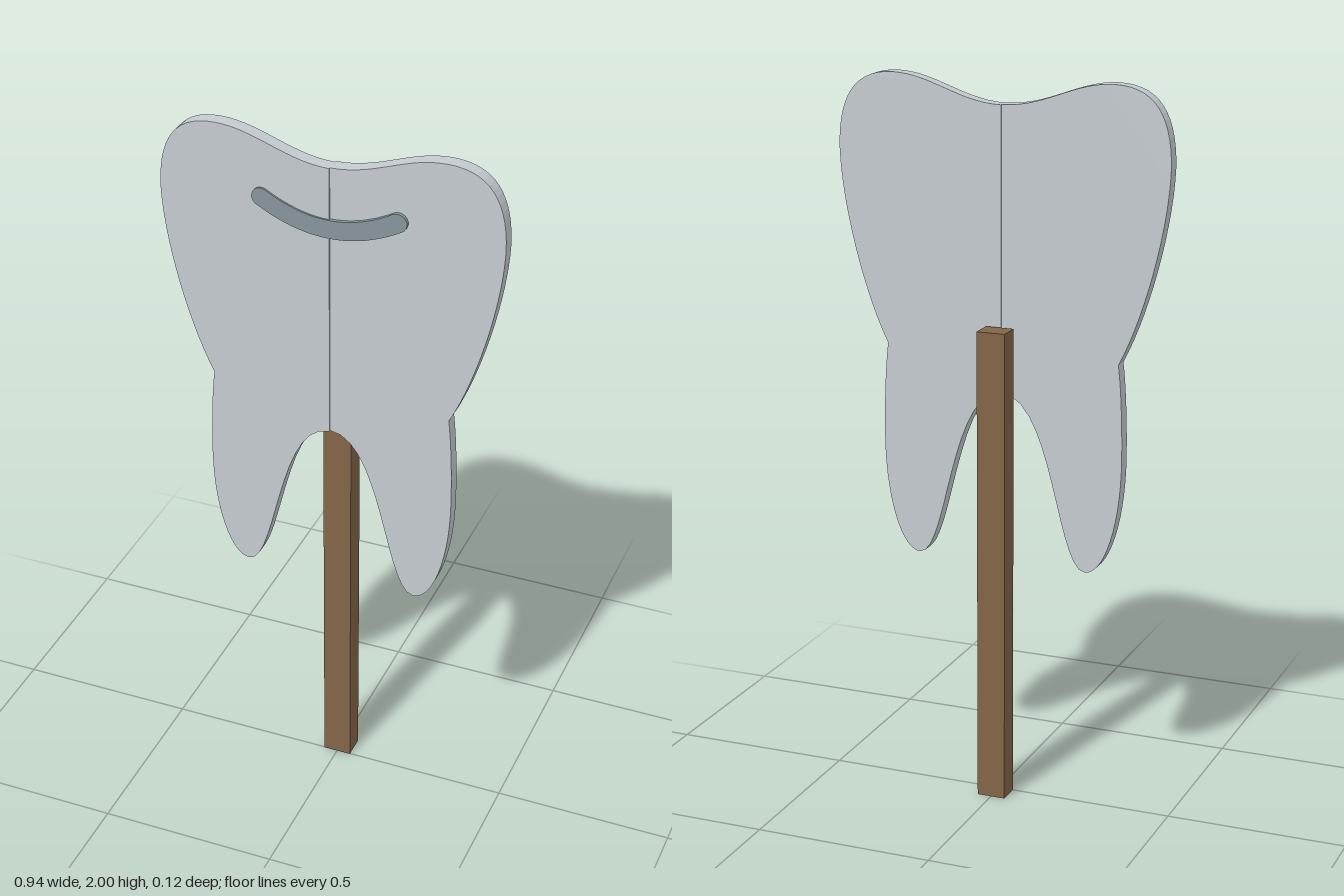
import * as THREE from 'three';

const material = (color) => new THREE.MeshStandardMaterial({ color });

function addMesh(group, name, geometry, mat, x, y, z) {
  const mesh = new THREE.Mesh(geometry, mat);
  mesh.name = name;
  mesh.position.set(x, y, z);
  group.add(mesh);
}

// Outline of half of the tooth; side is +1 (left) or -1 (right)
function halfTooth(side) {
  const curves = [
    [0.12, 1.93, 0.20, 2.00, 0.31, 2.00],   // dip to cusp
    [0.42, 2.00, 0.468, 1.93, 0.468, 1.79], // shoulder
    [0.464, 1.63, 0.40, 1.39, 0.332, 1.26], // crown side
    [0.34, 1.20, 0.345, 1.10, 0.345, 1.00], // root side
    [0.345, 0.82, 0.30, 0.67, 0.243, 0.67], // root tip
    [0.16, 0.67, 0.15, 1.15, 0, 1.15],      // arch between roots
  ];
  const shape = new THREE.Shape().moveTo(0, 1.93);
  for (const [a, b, c, d, e, f] of curves) {
    shape.bezierCurveTo(side * a, b, side * c, d, side * e, f);
  }
  return shape.closePath();
}

// Curved band of constant width with round ends
function smileShape(radius) {
  const curve = new THREE.QuadraticBezierCurve(
    new THREE.Vector2(-0.185, 1.816), new THREE.Vector2(0, 1.706), new THREE.Vector2(0.185, 1.816));
  const steps = 20, capSteps = 10, points = [];
  const offset = (t, turn) => {
    const p = curve.getPoint(t), d = curve.getTangent(t);
    const angle = Math.atan2(d.y, d.x) + turn;
    points.push(new THREE.Vector2(p.x + radius * Math.cos(angle), p.y + radius * Math.sin(angle)));
  };
  for (let i = 0; i <= steps; i++) offset(i / steps, -Math.PI / 2);
  for (let i = 1; i < capSteps; i++) offset(1, -Math.PI / 2 + Math.PI * i / capSteps);
  for (let i = steps; i >= 0; i--) offset(i / steps, Math.PI / 2);
  for (let i = 1; i < capSteps; i++) offset(0, Math.PI / 2 + Math.PI * i / capSteps);
  return new THREE.Shape(points);
}

export function createModel() {
  const group = new THREE.Group();
  group.name = 'toothSign';

  const enamel = material(0xc5cbcf);
  const extrude = (shape, depth) =>
    new THREE.ExtrudeGeometry(shape, { depth, bevelEnabled: false, curveSegments: 14 });

  // Tooth halves, the right one set slightly forward
  addMesh(group, 'toothLeftHalf', extrude(halfTooth(1), 0.04), enamel, 0, 0, 0.01);
  addMesh(group, 'toothRightHalf', extrude(halfTooth(-1), 0.04), enamel, 0, 0, 0.015);

  // Smile raised from the front
  addMesh(group, 'smile', extrude(smileShape(0.026), 0.04), material(0x87959c), 0, 0, 0.02);

  // Stick behind the tooth
  addMesh(group, 'stick', new THREE.BoxGeometry(0.08, 1.335, 0.065), material(0x826547), 0, 0.6675, -0.031);

  return group;
}
